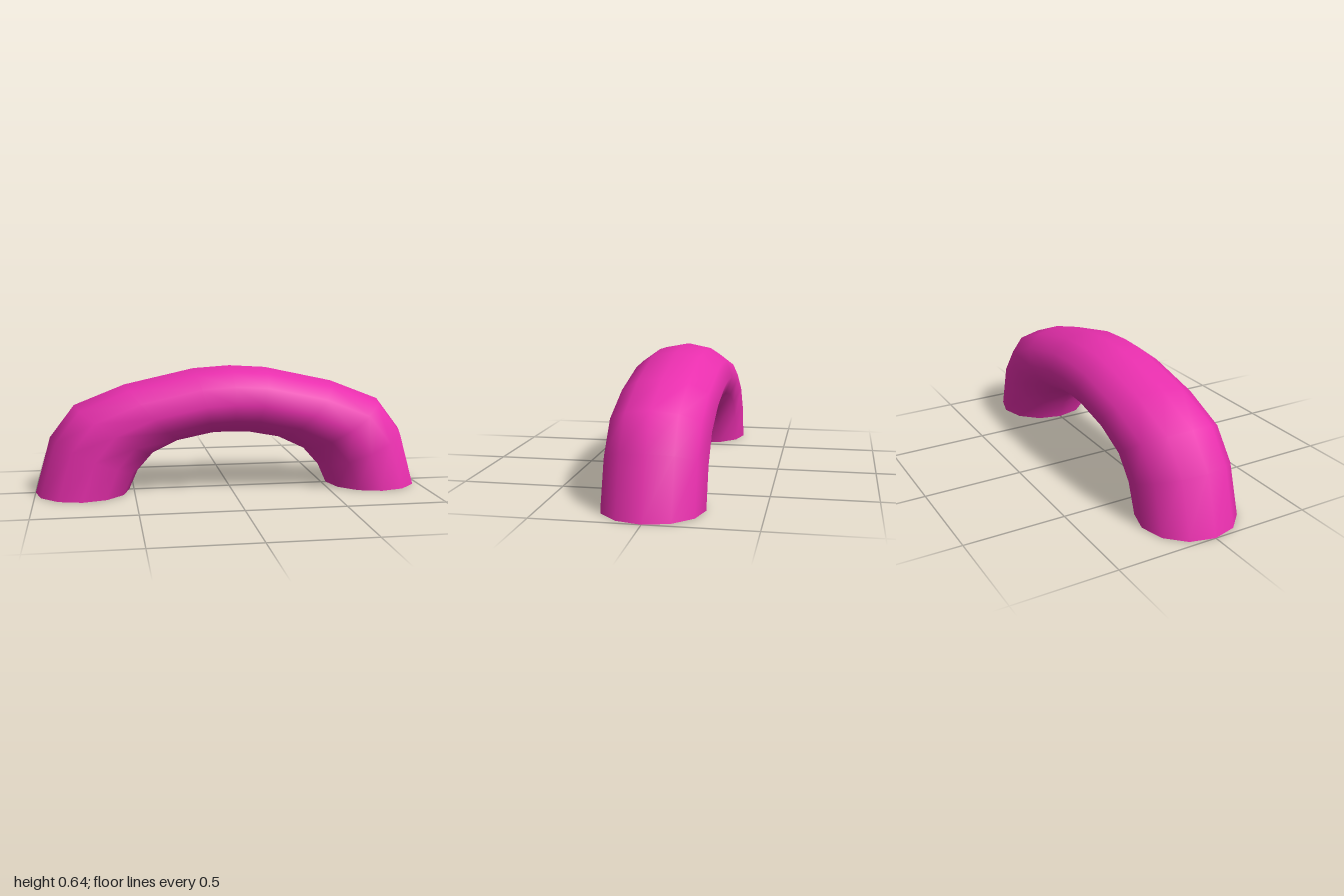
import * as THREE from 'three';

const SIDES = 12;
const HALF_DEPTH = 0.24;

// Half of the arch, from foot to crown: outer x, y and inner x, y of each ring
const HALF_RINGS = [
  [1.0, 0.0, 0.525, 0.0],
  [0.92, 0.285, 0.48, 0.1],
  [0.795, 0.448, 0.4, 0.19],
  [0.54, 0.548, 0.265, 0.255],
  [0.187, 0.625, 0.1, 0.287],
  [0.0, 0.637, 0.0, 0.29],
];

function archGeometry() {
  // Mirror the half to get every ring from the left foot to the right foot
  const mirrored = HALF_RINGS.slice(0, -1).reverse().map(([ox, oy, ix, iy]) => [-ox, oy, -ix, iy]);
  const rings = [...HALF_RINGS, ...mirrored];
  const positions = [];
  const indices = [];

  // Elliptical rings spanning the outer and inner curves
  rings.forEach(([ox, oy, ix, iy], i) => {
    for (let j = 0; j < SIDES; j++) {
      const angle = (j / SIDES) * Math.PI * 2;
      const t = (1 + Math.cos(angle)) / 2;
      positions.push(ix + (ox - ix) * t, iy + (oy - iy) * t, HALF_DEPTH * Math.sin(angle));
      if (i === rings.length - 1) continue;
      const a = i * SIDES + j;
      const c = i * SIDES + ((j + 1) % SIDES);
      indices.push(a, a + SIDES, c, a + SIDES, c + SIDES, c);
    }
  });

  const geometry = new THREE.BufferGeometry();
  geometry.setAttribute('position', new THREE.Float32BufferAttribute(positions, 3));
  geometry.setIndex(indices);
  geometry.computeVertexNormals();
  return geometry;
}

export function createModel() {
  const group = new THREE.Group();
  group.name = 'archedTube';

  // Hollow arch, open at both feet
  const material = new THREE.MeshStandardMaterial({ color: 0xe92fae, side: THREE.DoubleSide });
  const arch = new THREE.Mesh(archGeometry(), material);
  arch.name = 'arch';
  group.add(arch);
  return group;
}
